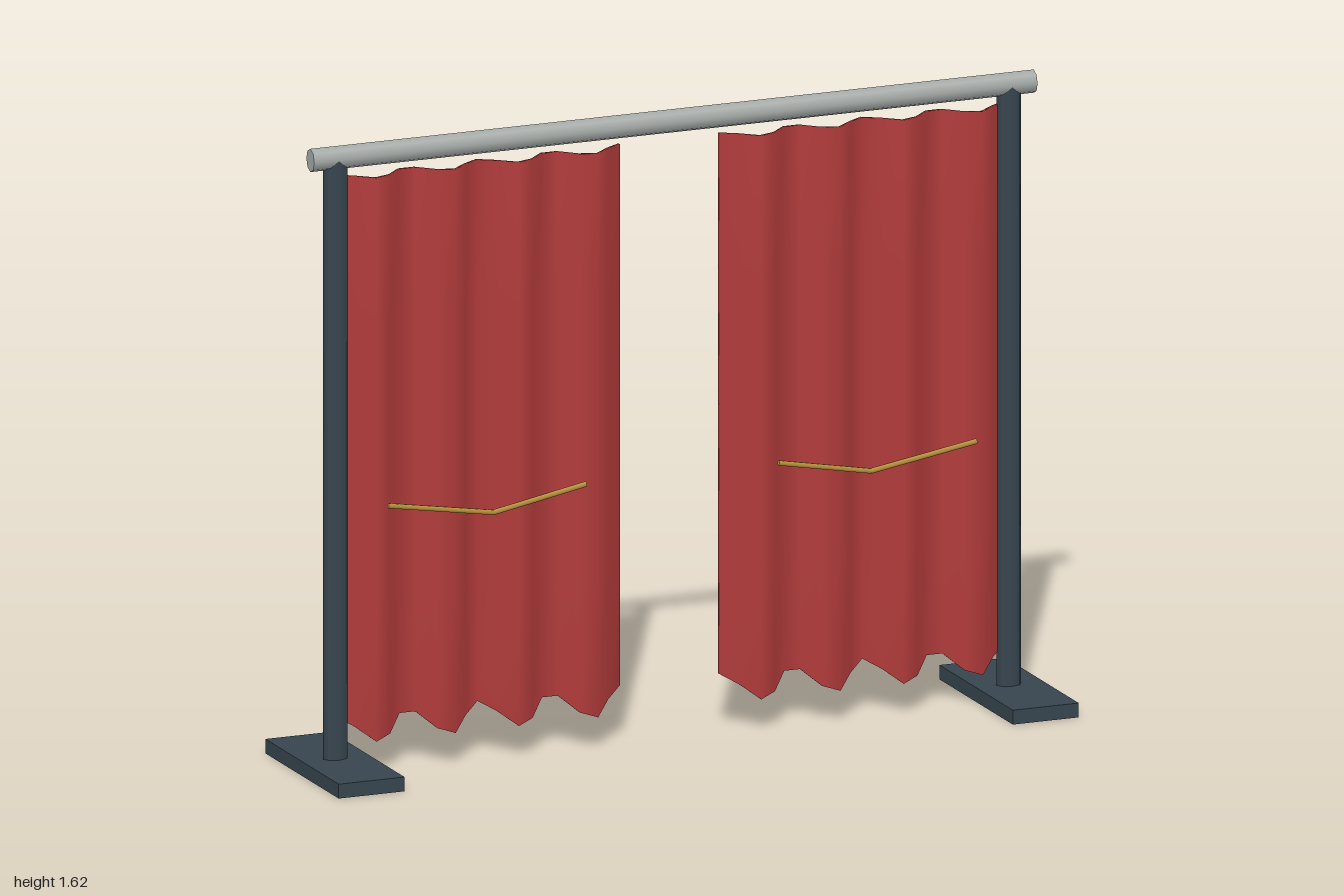
import * as THREE from 'three';
import { mergeVertices } from 'three/addons/utils/BufferGeometryUtils.js';

const mat = (color) => new THREE.MeshStandardMaterial({ color });

function add(parent, name, geometry, material) {
  const mesh = new THREE.Mesh(geometry, material);
  mesh.name = name;
  parent.add(mesh);
  return mesh;
}

// Thin pleated cloth: a box bent into waves, hem dipping at the front folds
function curtainGeometry(width, top, hem, folds) {
  let geo = new THREE.BoxGeometry(1, 1, 1, 18, 4, 1);
  geo.deleteAttribute('normal');
  geo.deleteAttribute('uv');
  geo = mergeVertices(geo);
  const p = geo.attributes.position;
  for (let i = 0; i < p.count; i++) {
    const u = p.getX(i) + 0.5;
    const v = p.getY(i) + 0.5;
    const wave = -Math.cos(u * folds * Math.PI * 2);
    const bottom = hem - 0.03 * wave;
    p.setXYZ(i, (u - 0.5) * width, bottom + v * (top - bottom), 0.014 + 0.033 * wave + p.getZ(i) * 0.01);
  }
  geo.computeVertexNormals();
  return geo;
}

// Straight cord between two points
function cord(parent, name, a, b, material) {
  const dir = b.clone().sub(a);
  const mesh = add(parent, name, new THREE.CylinderGeometry(0.007, 0.007, dir.length(), 6), material);
  mesh.position.copy(a).add(b).multiplyScalar(0.5);
  mesh.quaternion.setFromUnitVectors(new THREE.Vector3(0, 1, 0), dir.normalize());
}

export function createModel() {
  const group = new THREE.Group();
  const frame = mat(0x37454e);
  const metal = mat(0xa6aca9);
  const cloth = mat(0xb03a3a);
  const gold = mat(0xb8903c);

  // Rail across the top
  const rail = add(group, 'rail', new THREE.CylinderGeometry(0.03, 0.03, 1.955, 8), metal);
  rail.rotation.z = Math.PI / 2;
  rail.scale.z = 0.85;
  rail.position.y = 1.585;

  const curtain = curtainGeometry(0.77, 1.535, 0.11, 4);
  for (const [side, s] of [['left', 1], ['right', -1]]) {
    // Foot and post
    const foot = add(group, side + 'Foot', new THREE.BoxGeometry(0.178, 0.037, 0.47), frame);
    foot.position.set(s * 0.911, 0.0185, 0);
    const post = add(group, side + 'Post', new THREE.CylinderGeometry(0.033, 0.033, 1.55, 8), frame);
    post.scale.z = 0.74;
    post.position.set(s * 0.91, 0.81, 0);

    // Curtain panel
    add(group, side + 'Curtain', curtain, cloth).position.x = s * 0.52;

    // Sagging tie cord
    const tie = new THREE.Group();
    tie.name = side + 'TieCord';
    const mid = new THREE.Vector3(s * 0.51, 0.645, 0.066);
    cord(tie, 'innerCord', new THREE.Vector3(s * 0.26, 0.692, 0.066), mid, gold);
    cord(tie, 'outerCord', mid, new THREE.Vector3(s * 0.795, 0.692, 0.066), gold);
    group.add(tie);
  }
  return group;
}
